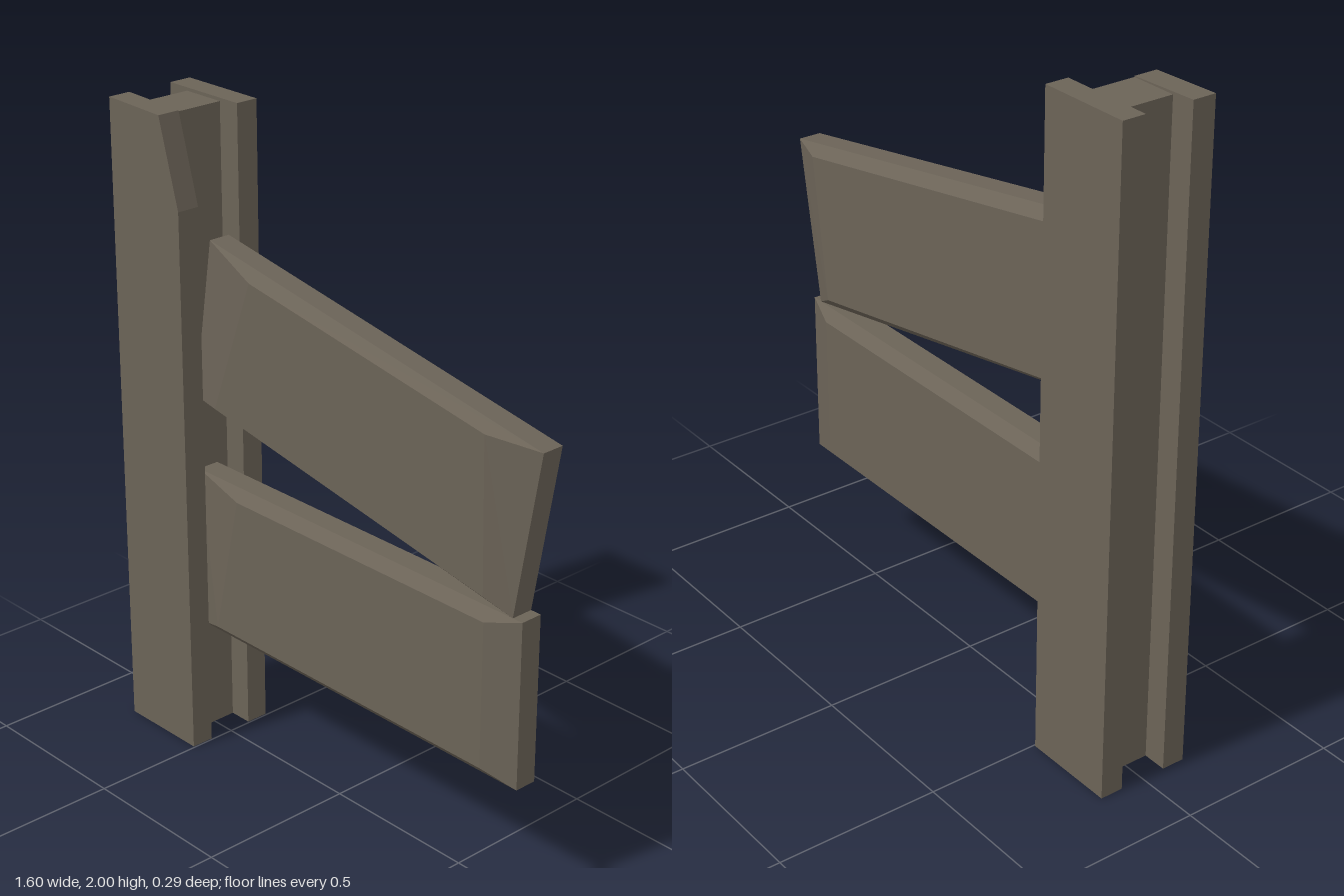
import * as THREE from 'three';

const wood = new THREE.MeshStandardMaterial({ color: 0x6b6357 });
wood.name = 'weatheredWood';

function add(group, name, geometry, x = 0, y = 0, z = 0) {
  const mesh = new THREE.Mesh(geometry, wood);
  mesh.name = name;
  mesh.position.set(x, y, z);
  group.add(mesh);
}

// Flat slab cut from an outline in x and y
function slab(points, depth) {
  const shape = new THREE.Shape(points.map(([x, y]) => new THREE.Vector2(x, y)));
  return new THREE.ExtrudeGeometry(shape, { depth, bevelEnabled: false });
}

// Bevelled plank: back face, two rim outlines and front face, all counter-clockwise
function plank(back, rim, front) {
  const at = (loop, z) => loop.map(([x, y]) => [x, y, z]);
  const loops = [at(back, -0.068), at(rim, -0.035), at(rim, 0.035), at(front, 0.068)];
  const pos = [];
  const quad = (a, b, c, d) => pos.push(...a, ...b, ...c, ...a, ...c, ...d);
  for (let k = 0; k < 3; k++) {
    for (let i = 0; i < 4; i++) {
      const j = (i + 1) % 4;
      quad(loops[k][i], loops[k][j], loops[k + 1][j], loops[k + 1][i]);
    }
  }
  quad(...loops[3]);
  quad(...loops[0].slice().reverse());
  const geometry = new THREE.BufferGeometry();
  geometry.setAttribute('position', new THREE.Float32BufferAttribute(pos, 3));
  geometry.computeVertexNormals();
  return geometry;
}

export function createModel() {
  const model = new THREE.Group();
  model.name = 'brokenFence';

  // Post: two outer boards around a narrow core, the front one with a broken corner
  const post = new THREE.Group();
  post.name = 'post';
  model.add(post);
  add(post, 'frontPostBoard', slab([[-0.8, 0], [-0.505, 0], [-0.505, 1.73], [-0.58, 1.993], [-0.8, 2]], 0.072), 0, 0, 0.075);
  add(post, 'backPostBoard', new THREE.BoxGeometry(0.295, 2, 0.072), -0.6525, 1, -0.111);
  add(post, 'postCore', new THREE.BoxGeometry(0.145, 1.99, 0.15), -0.6525, 0.995, 0);

  // Level lower plank
  add(model, 'lowerPlank', plank(
    [[-0.47, 0.405], [0.635, 0.405], [0.635, 0.855], [-0.47, 0.855]],
    [[-0.58, 0.37], [0.745, 0.37], [0.745, 0.885], [-0.58, 0.885]],
    [[-0.47, 0.405], [0.635, 0.405], [0.635, 0.855], [-0.37, 0.855]]));

  // Sagging upper plank
  add(model, 'upperPlank', plank(
    [[-0.47, 1.125], [0.62, 0.935], [0.68, 1.38], [-0.42, 1.575]],
    [[-0.585, 1.12], [0.71, 0.885], [0.797, 1.39], [-0.505, 1.622]],
    [[-0.46, 1.125], [0.63, 0.93], [0.62, 1.395], [-0.3, 1.555]]));

  return model;
}
